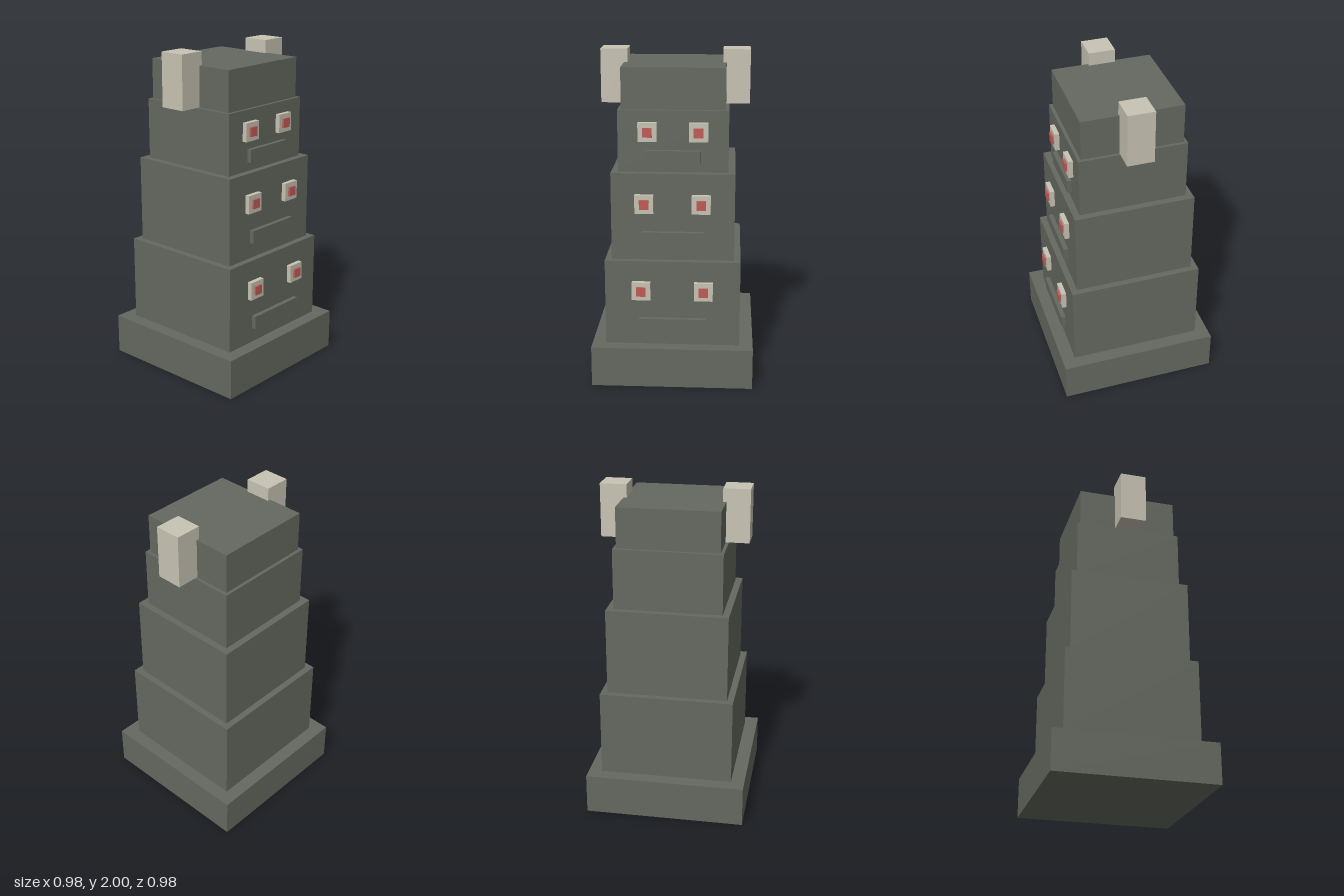
import * as THREE from 'three';

const mat = (name, color) => {
  const m = new THREE.MeshStandardMaterial({ color });
  m.name = name;
  return m;
};

export function createModel() {
  const stone = mat('mossy stone', 0x656960);
  const bone = mat('pale bone', 0xc8c4b4);
  const red = mat('red pupil', 0xc05c58);

  const model = new THREE.Group();
  model.name = 'totem';

  // Box given by its x, y and z ranges
  const box = (parent, name, material, [x0, x1], [y0, y1], [z0, z1]) => {
    const mesh = new THREE.Mesh(new THREE.BoxGeometry(x1 - x0, y1 - y0, z1 - z0), material);
    mesh.position.set((x0 + x1) / 2, (y0 + y1) / 2, (z0 + z1) / 2);
    mesh.name = name;
    parent.add(mesh);
  };
  const around = (c, size) => [c - size / 2, c + size / 2];
  const square = (parent, name, half, y) =>
    box(parent, name, stone, [-half, half], y, [-half, half]);

  // Plinth and cap block
  square(model, 'base', 0.488, [0, 0.248]);
  square(model, 'cap', 0.306, [1.675, 1.92]);

  // Stacked tiers, each carrying a face on its front
  const tiers = [
    { half: 0.406, y: [0.248, 0.777], eyeX: 0.187, eyeY: 0.595, mouthX: 0.204, mouthY: 0.38 },
    { half: 0.367, y: [0.777, 1.307], eyeX: 0.169, eyeY: 1.125, mouthX: 0.183, mouthY: 0.914 },
    { half: 0.326, y: [1.307, 1.675], eyeX: 0.15, eyeY: 1.549, mouthX: 0.163, mouthY: 1.4 },
  ];
  tiers.forEach((t, i) => {
    const tier = new THREE.Group();
    tier.name = `tier${i + 1}`;
    model.add(tier);
    square(tier, 'block', t.half, t.y);
    const front = t.half + 0.028;
    for (const [side, s] of [['left', 1], ['right', -1]]) {
      const x = s * t.eyeX;
      box(tier, `${side}Eye`, bone, around(x, 0.112), around(t.eyeY, 0.112), [t.half, front]);
      box(tier, `${side}Pupil`, red, around(x, 0.056), around(t.eyeY, 0.056), [front, front + 0.013]);
    }
    box(tier, 'mouth', stone, [-t.mouthX, t.mouthX], around(t.mouthY, 0.08), [t.half, front]);
  });

  // Horns set into the sides of the cap
  for (const [side, s] of [['left', 1], ['right', -1]]) {
    box(model, `${side}Horn`, bone, around(s * 0.367, 0.162), [1.676, 2], [-0.081, 0.081]);
  }
  return model;
}
